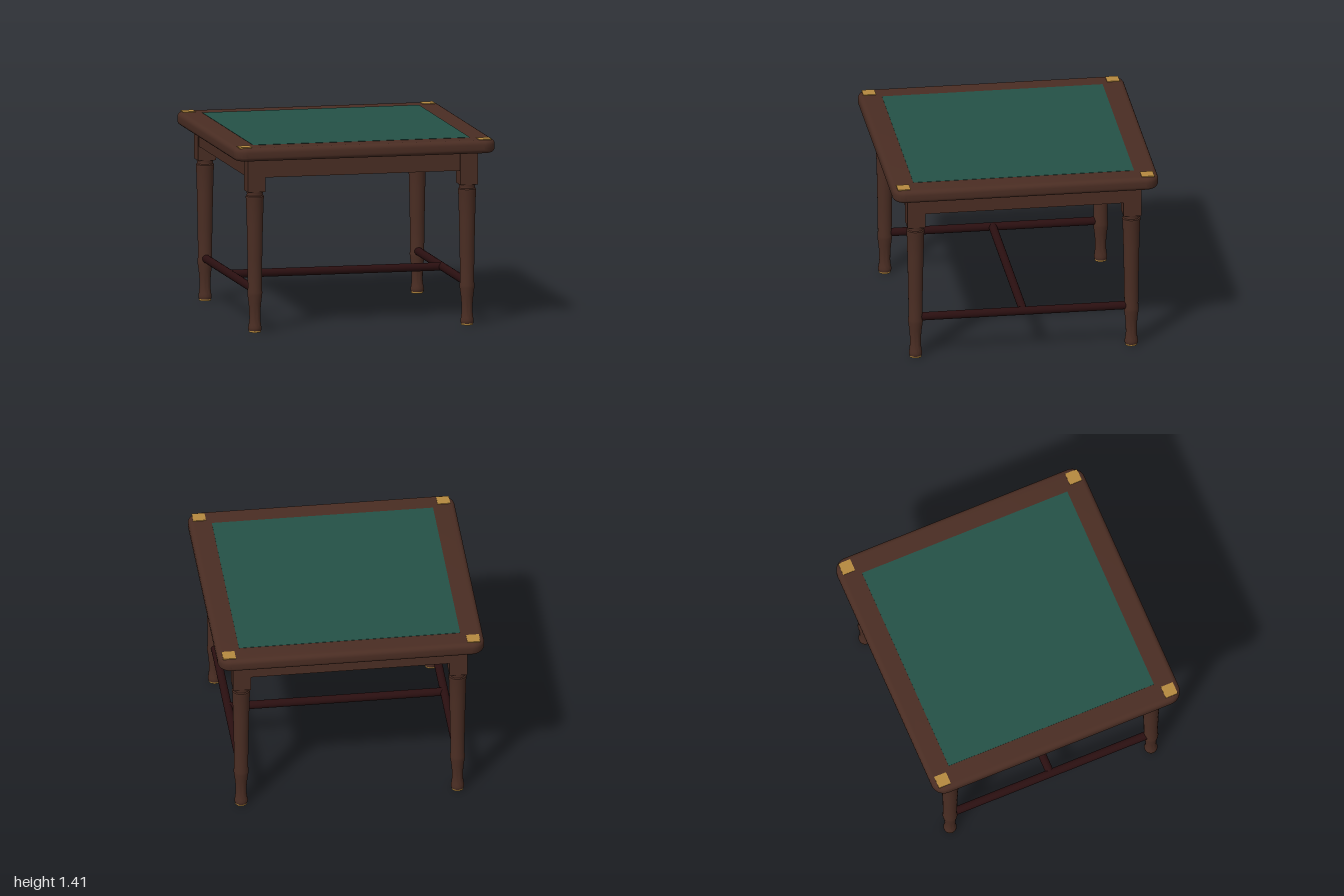
import * as THREE from 'three';
import { toCreasedNormals } from 'three/addons/utils/BufferGeometryUtils.js';

const mat = (name, color) => {
  const m = new THREE.MeshStandardMaterial({ color });
  m.name = name;
  return m;
};

export function createModel() {
  const wood = mat('brown wood', 0x4a2d23);
  const dark = mat('dark wood', 0x2a0f10);
  const felt = mat('green felt', 0x245147);
  const brass = mat('brass', 0xb5893f);

  const table = new THREE.Group();
  table.name = 'table';
  const add = (name, geometry, material, x, y, z, parent = table) => {
    const mesh = new THREE.Mesh(geometry, material);
    mesh.name = name;
    mesh.position.set(x, y, z);
    parent.add(mesh);
    return mesh;
  };
  const box = (w, h, d) => new THREE.BoxGeometry(w, h, d);

  // Table top: rounded square with a softly rounded edge
  const bevel = 0.035, half = 1 - bevel, r = 0.1 - bevel, c = half - r;
  const outline = new THREE.Shape();
  outline.absarc(c, c, r, 0, Math.PI / 2);
  outline.absarc(-c, c, r, Math.PI / 2, Math.PI);
  outline.absarc(-c, -c, r, Math.PI, Math.PI * 1.5);
  outline.absarc(c, -c, r, Math.PI * 1.5, Math.PI * 2);
  outline.closePath();
  const slab = new THREE.ExtrudeGeometry(outline, {
    depth: 0.03, bevelEnabled: true, bevelSize: bevel, bevelThickness: bevel,
    bevelSegments: 6, curveSegments: 10,
  });
  slab.rotateX(-Math.PI / 2);
  add('tableTop', toCreasedNormals(slab, 0.6), wood, 0, 1.31 + bevel, 0);
  add('feltSurface', box(1.66, 0.004, 1.66), felt, 0, 1.41, 0);

  // Apron boards with dark inner faces, and the dark underside
  for (let i = 0; i < 4; i++) {
    const side = new THREE.Group();
    side.name = 'apronSide';
    side.rotation.y = i * Math.PI / 2;
    add('apron', box(1.66, 0.14, 0.035), wood, 0, 1.24, 0.856, side);
    add('apronLining', box(1.66, 0.136, 0.012), dark, 0, 1.242, 0.833, side);
    table.add(side);
  }
  add('underside', box(1.66, 0.012, 1.66), dark, 0, 1.303, 0);

  // Turned leg profile, from foot to neck
  const profile = [
    [0, 0.008], [0.044, 0.008], [0.049, 0.018], [0.05, 0.035], [0.046, 0.055],
    [0.041, 0.1], [0.042, 0.16], [0.047, 0.22], [0.055, 0.28], [0.056, 0.3],
    [0.052, 0.33], [0.055, 0.55], [0.06, 0.8], [0.066, 1.0], [0.068, 1.012],
    [0.068, 1.025], [0.061, 1.032], [0.059, 1.045], [0.062, 1.055], [0.062, 1.066],
  ].map(([x, y]) => new THREE.Vector2(x, y));
  const legGeometry = toCreasedNormals(new THREE.LatheGeometry(profile, 28), 0.6);
  const footGeometry = new THREE.CylinderGeometry(0.046, 0.044, 0.012, 28);
  const p = 0.812;

  for (const sx of [-1, 1]) {
    for (const sz of [-1, 1]) {
      const leg = new THREE.Group();
      leg.name = 'leg';
      leg.position.set(sx * p, 0, sz * p);
      add('legBlock', box(0.135, 0.25, 0.135), wood, 0, 1.187, 0, leg);
      add('turnedLeg', legGeometry, wood, 0, 0, 0, leg);
      add('footCap', footGeometry, brass, 0, 0.006, 0, leg);
      table.add(leg);
      // Inlaid corner plate
      add('cornerPlate', box(0.096, 0.008, 0.096), brass, sx * 0.917, 1.411, sz * 0.917);
    }
    // Side stretcher
    add('sideStretcher', new THREE.CylinderGeometry(0.031, 0.031, 2 * p, 20), dark, sx * p, 0.318, 0)
      .rotation.x = Math.PI / 2;
  }
  // Cross stretcher joining the two sides
  add('crossStretcher', new THREE.CylinderGeometry(0.031, 0.031, 2 * p, 20), dark, 0, 0.318, 0)
    .rotation.z = Math.PI / 2;

  return table;
}
